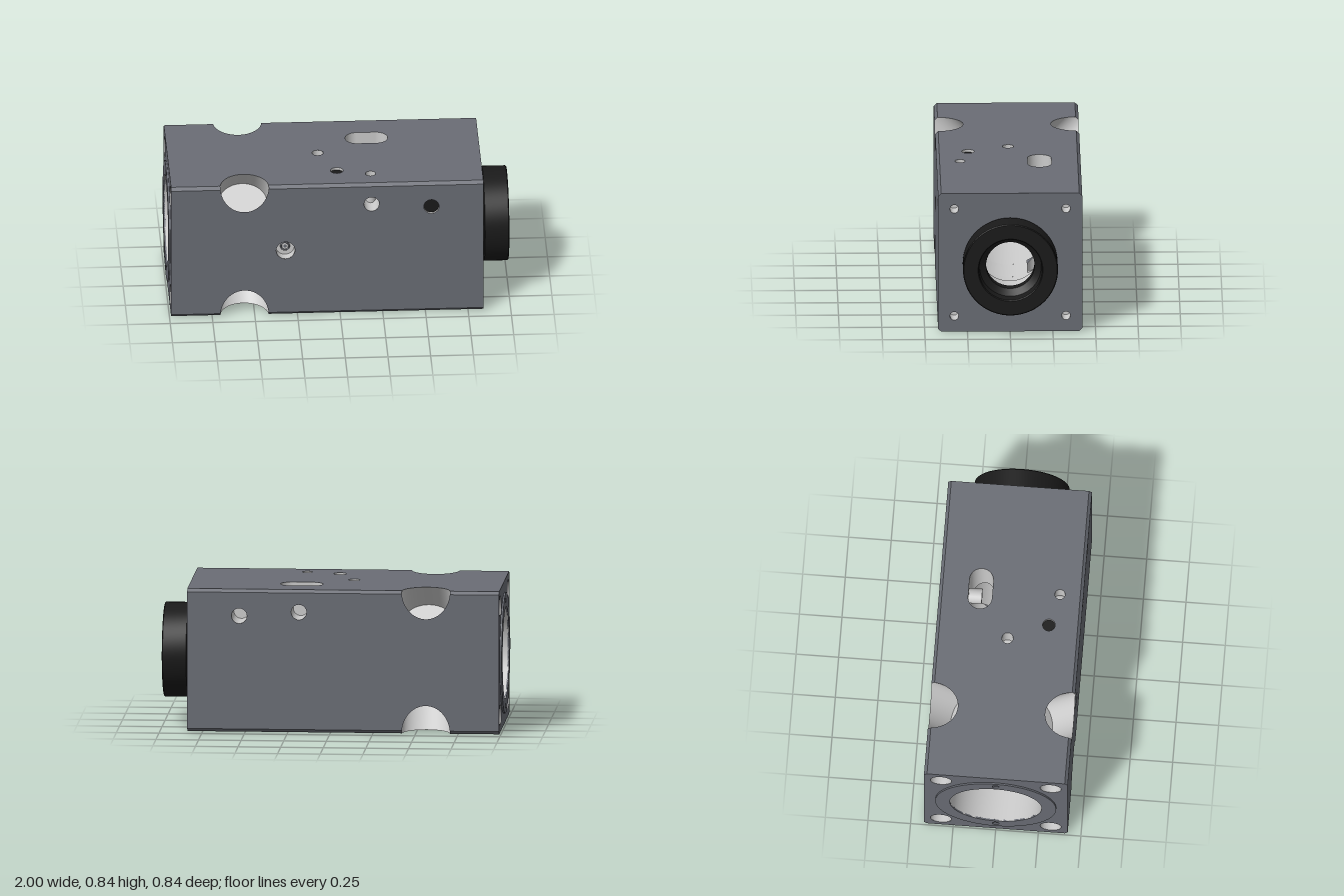
import * as THREE from 'three';
import { toCreasedNormals } from 'three/addons/utils/BufferGeometryUtils.js';

const H = 0.422, C = 0.018, X0 = -0.99, X1 = 0.84;   // half width, edge chamfer, body ends
const BORE = 0.25, PX = -0.56, PA = 0.142, PB = 0.117, PD = 0.29; // bore radius, corner pocket
const V3 = (x, y, z) => new THREE.Vector3(x, y, z);
const mat = (color) => new THREE.MeshStandardMaterial({ color, side: THREE.DoubleSide });

export function createModel() {
  const shell = mat(0x6a6d75), metal = mat(0xcccccc), black = mat(0x1a1a1a);
  const model = new THREE.Group();
  const body = new THREE.Group();
  body.name = 'body';
  body.position.y = H;
  model.add(body);

  const add = (parent, name, geo, material) => {
    const m = new THREE.Mesh(geo, material);
    m.name = name;
    parent.add(m);
    return m;
  };

  // Surface between two matching rows of points
  const strip = (a, b) => {
    const geo = new THREE.BufferGeometry().setFromPoints([...a, ...b]);
    const idx = [], n = a.length;
    for (let i = 0; i < n - 1; i++) idx.push(i, i + 1, n + i, i + 1, n + i + 1, n + i);
    geo.setIndex(idx);
    geo.computeVertexNormals();
    return geo;
  };
  const circle = (x, y, r) => new THREE.Path().absarc(x, y, r, 0, Math.PI * 2, true);
  const slotPath = (x0, x1, y, r) => {
    const p = new THREE.Path();
    p.absarc(x1 - r, y, r, -Math.PI / 2, Math.PI / 2, false);
    p.absarc(x0 + r, y, r, Math.PI / 2, Math.PI * 1.5, false);
    p.closePath();
    return p;
  };
  // Turned part around the x axis, from [radius, x] pairs
  const turned = (pts) => toCreasedNormals(
    new THREE.LatheGeometry(pts.map(([r, x]) => new THREE.Vector2(r, x)), 72).rotateZ(-Math.PI / 2), 0.5);

  // Blind hole sunk along -z from the given height
  const sink = (parent, name, x, y, r, top, depth, floor) => {
    const wall = new THREE.CylinderGeometry(r, r, depth, 28, 1, true).rotateX(Math.PI / 2);
    add(parent, name + 'Wall', wall.translate(x, y, top - depth / 2), metal);
    add(parent, name + 'Floor', new THREE.CircleGeometry(r, 28).translate(x, y, top - depth), floor);
  };

  // Four long sides, each drawn facing +z and turned about the x axis
  const crossHoles = (s) => [[0.185, s * 0.29, 0.045, 0.25], [0.535, s * 0.265, 0.045, 0.2]];
  const upright = (s) => [[-0.11, 0, 0.033, 0.12], [-0.01, s * 0.235, 0.037, 0.2], [0.185, s * 0.285, 0.03, 0.25]];
  const sides = [
    { name: 'frontSide', turn: 0, holes: [...crossHoles(1), [-0.32, 0, 0.055, 0.06]], plug: 1 },
    { name: 'topSide', turn: -Math.PI / 2, holes: upright(-1), plug: 1, slot: 0.18 },
    { name: 'backSide', turn: Math.PI, holes: crossHoles(-1) },
    { name: 'bottomSide', turn: Math.PI / 2, holes: upright(1), plug: 2, slot: -0.18 },
  ];

  for (const { name, turn, holes, plug, slot } of sides) {
    const g = new THREE.Group();
    g.name = name;
    g.rotation.x = turn;
    body.add(g);

    // Panel with a pocket notch in both long edges
    const E = H - C, ry = PB * Math.SQRT2, t0 = Math.asin(C / ry);
    const notch = (sy) => Array.from({ length: 33 }, (_, i) => {
      const t = t0 + (Math.PI - 2 * t0) * i / 32;
      return new THREE.Vector2(PX - sy * PA * Math.cos(t) * -1, sy * (H - ry * Math.sin(t)));
    });
    const shape = new THREE.Shape([
      new THREE.Vector2(X0, -E), ...notch(-1), new THREE.Vector2(X1, -E),
      new THREE.Vector2(X1, E), ...notch(1), new THREE.Vector2(X0, E),
    ]);
    for (const [x, y, r] of holes) shape.holes.push(circle(x, y, r));
    if (slot) shape.holes.push(slotPath(0.06, 0.31, slot, 0.07));
    add(g, 'panel', new THREE.ShapeGeometry(shape, 16).translate(0, 0, H), shell);

    // Drilled holes, some closed by a dark plug
    holes.forEach(([x, y, r, depth], i) => {
      const plugged = plug === i;
      sink(g, 'hole', x, y, r, H, plugged ? 0.015 : depth, plugged ? black : metal);
    });
    if (name === 'frontSide') {
      const ring = new THREE.TorusGeometry(0.024, 0.005, 8, 28);
      add(g, 'screwRim', ring.translate(-0.32, 0, H - 0.058), shell);
      add(g, 'screwSocket', new THREE.CircleGeometry(0.011, 6).translate(-0.32, 0, H - 0.057), shell);
    }

    // Slot walls running down to the bore
    if (slot) {
      const pts = slotPath(0.06, 0.31, slot, 0.07).getPoints(16);
      add(g, 'slotWall', strip(
        pts.map((p) => V3(p.x, p.y, H)),
        pts.map((p) => V3(p.x, p.y, Math.sqrt(Math.max(0, BORE ** 2 - p.y ** 2))))), metal);
    }

    // Round pocket bored diagonally into the long edge
    const q = Math.SQRT1_2;
    const onAxis = (u, s, d) => V3(PX + u, H + (s - d) * q, H - (s + d) * q);
    const rim = [], foot = [];
    for (let i = 0; i <= 64; i++) {
      const t = i / 64 * Math.PI * 2, u = PA * Math.cos(t), s = PB * Math.sin(t);
      rim.push(onAxis(u, s, Math.max(Math.abs(s), C * q)));
      foot.push(onAxis(u, s, PD));
    }
    add(g, 'pocketWall', strip(rim, foot), metal);
    add(g, 'pocketFloor', strip(foot, foot.map(() => onAxis(0, 0, PD))), metal);

    // Chamfer on both sides of the pocket
    for (const [a, b] of [[X0, PX - PA], [PX + PA, X1]]) {
      add(g, 'edgeChamfer', strip([V3(a, E, H), V3(b, E, H)], [V3(a, H, E), V3(b, H, E)]), shell);
    }
  }

  // End faces: square with cut corners, a bore and four corner holes
  const endFace = (name, boreR, holeR, at, x, dir, depth) => {
    const g = new THREE.Group();
    g.name = name;
    g.rotation.y = dir * Math.PI / 2;
    g.position.x = x;
    body.add(g);
    const E = H - C;
    const s = new THREE.Shape([[E, -H], [H, -E], [H, E], [E, H], [-E, H], [-H, E], [-H, -E], [-E, -H]]
      .map(([a, b]) => new THREE.Vector2(a, b)));
    s.holes.push(circle(0, 0, boreR));
    for (const a of [-at, at]) for (const b of [-at, at]) {
      s.holes.push(circle(a, b, holeR));
      sink(g, 'cornerHole', a, b, holeR, 0, depth, metal);
    }
    add(g, 'endPlate', new THREE.ShapeGeometry(s, 24), shell);
    return g;
  };
  endFace('ringEnd', 0.185, 0.025, 0.327, X1, 1, 0.1);
  const openEnd = endFace('openEnd', 0.27, 0.062, 0.322, X0, -1, 0.2);

  // Raised rim with two pin holes on the open end
  const rimShape = new THREE.Shape().absarc(0, 0, 0.355, 0, Math.PI * 2);
  rimShape.holes.push(circle(0, 0, 0.27), circle(0, 0.312, 0.02), circle(0, -0.312, 0.02));
  add(openEnd, 'raisedRim', new THREE.ExtrudeGeometry(rimShape, { depth: 0.01, bevelEnabled: false, curveSegments: 36 }), shell);

  // Stepped bore, with the band at the slots left open where they cut through
  add(body, 'frontBore', turned([[0.27, -1], [0.27, -0.8], [BORE, -0.8], [BORE, 0.06]]), metal);
  add(body, 'rearBore', turned([[BORE, 0.31], [BORE, 0.6], [0.185, 0.6], [0.185, X1]]), metal);
  const open = Math.asin(0.11 / BORE);
  const arc = (x) => Array.from({ length: 49 }, (_, i) => {
    const t = -open + (Math.PI + 2 * open) * i / 48;
    return V3(x, BORE * Math.cos(t), BORE * Math.sin(t));
  });
  add(body, 'slottedBore', strip(arc(0.06), arc(0.31)), metal);

  // Dark mounting ring on the right-hand end
  add(body, 'mountRing', turned([
    [0.265, 0.84], [0.265, 0.853], [0.278, 0.858], [0.278, 0.995], [0.273, 1], [0.19, 1],
    [0.185, 0.995], [0.18, 0.93], [0.142, 0.9], [0.142, 0.84], [0.265, 0.84],
  ]), black);

  return model;
}
